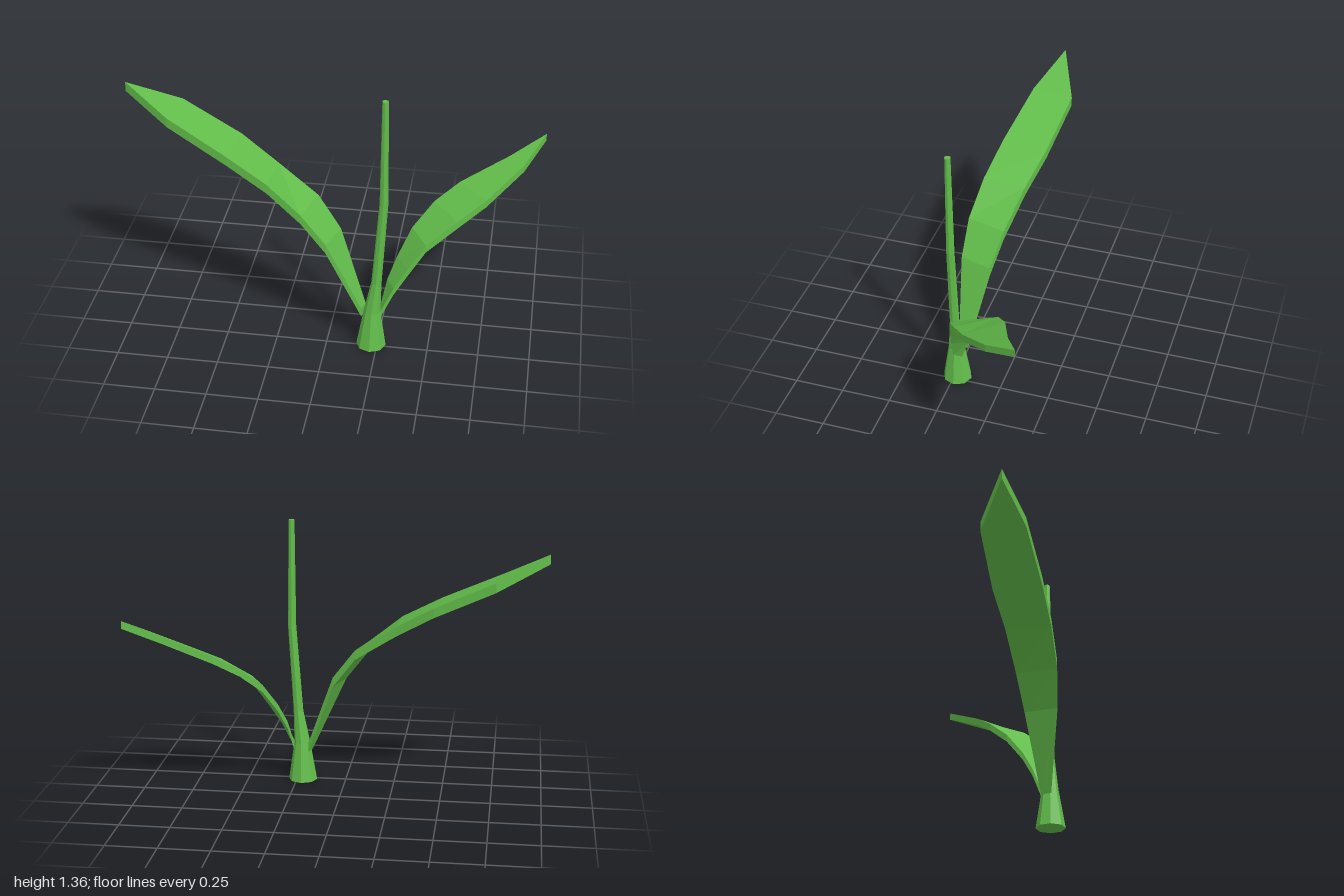
import * as THREE from 'three';

// Skin a series of equal-sized point rings with flat faces and close both ends
function loft(rings) {
  const pos = [];
  const tri = (a, b, c) => {
    const t = new THREE.Triangle(a, b, c);
    if (t.getArea() > 1e-7) for (const p of [a, b, c]) pos.push(p.x, p.y, p.z);
  };
  const n = rings[0].length;
  for (let i = 0; i < rings.length - 1; i++) {
    const r = rings[i], s = rings[i + 1];
    for (let j = 0; j < n; j++) {
      const k = (j + 1) % n;
      tri(r[j], r[k], s[k]);
      tri(r[j], s[k], s[j]);
    }
  }
  const first = rings[0], last = rings[rings.length - 1];
  for (let j = 1; j < n - 1; j++) {
    tri(first[0], first[j + 1], first[j]);
    tri(last[0], last[j], last[j + 1]);
  }
  const geo = new THREE.BufferGeometry();
  geo.setAttribute('position', new THREE.Float32BufferAttribute(pos, 3));
  geo.computeVertexNormals();
  return geo;
}

// Leaf stations: [top height, front edge x, z, back edge x, z]
function leafGeometry(stations, thickness, toRight) {
  return loft(stations.map(([y, fx, fz, bx, bz]) => {
    const ring = [
      new THREE.Vector3(fx, y, fz),
      new THREE.Vector3(bx, y, bz),
      new THREE.Vector3(bx, y - thickness, bz),
      new THREE.Vector3(fx, y - thickness, fz),
    ];
    return toRight ? ring.reverse() : ring;
  }));
}

// Stem stations: [height, centre x, centre z, radius]
function stemGeometry(stations, sides) {
  return loft(stations.map(([y, cx, cz, r]) =>
    Array.from({ length: sides }, (_, j) => {
      const t = (j / sides) * Math.PI * 2;
      return new THREE.Vector3(cx + r * Math.sin(t), y, cz + r * Math.cos(t));
    })));
}

export function createModel() {
  const group = new THREE.Group();
  group.name = 'plant';
  const green = new THREE.MeshStandardMaterial({ color: 0x62bd4a, flatShading: true });
  green.name = 'leaf green';

  const add = (name, geo) => {
    const mesh = new THREE.Mesh(geo, green);
    mesh.name = name;
    group.add(mesh);
  };

  // Flared foot narrowing to a slender, slightly leaning stalk
  add('stem', stemGeometry([
    [0, 0.22, 0.235, 0.073],
    [0.2, 0.223, 0.235, 0.041],
    [0.37, 0.242, 0.235, 0.025],
    [0.82, 0.271, 0.235, 0.021],
    [1.355, 0.269, 0.235, 0.015],
  ], 8));

  // Long broad leaf
  add('longLeaf', leafGeometry([
    [0.21, 0.17, 0.24, 0.185, 0.19],
    [0.585, 0, 0.276, 0.05, 0.115],
    [0.74, -0.12, 0.276, -0.065, 0.077],
    [0.878, -0.285, 0.25, -0.27, 0.03],
    [0.99, -0.485, 0.21, -0.455, -0.024],
    [1.133, -0.78, 0.14, -0.75, -0.07],
    [1.255, -1, 0.035, -1, 0.035],
  ], 0.048, false));

  // Shorter arching leaf
  add('shortLeaf', leafGeometry([
    [0.205, 0.265, 0.24, 0.258, 0.195],
    [0.335, 0.325, 0.225, 0.285, 0.15],
    [0.44, 0.39, 0.205, 0.325, 0.1],
    [0.563, 0.47, 0.177, 0.387, 0.02],
    [0.667, 0.61, 0.107, 0.483, -0.07],
    [0.747, 0.74, 0.017, 0.6, -0.14],
    [0.864, 0.905, -0.145, 0.83, -0.225],
    [0.955, 1, -0.31, 1, -0.31],
  ], 0.038, true));

  return group;
}
